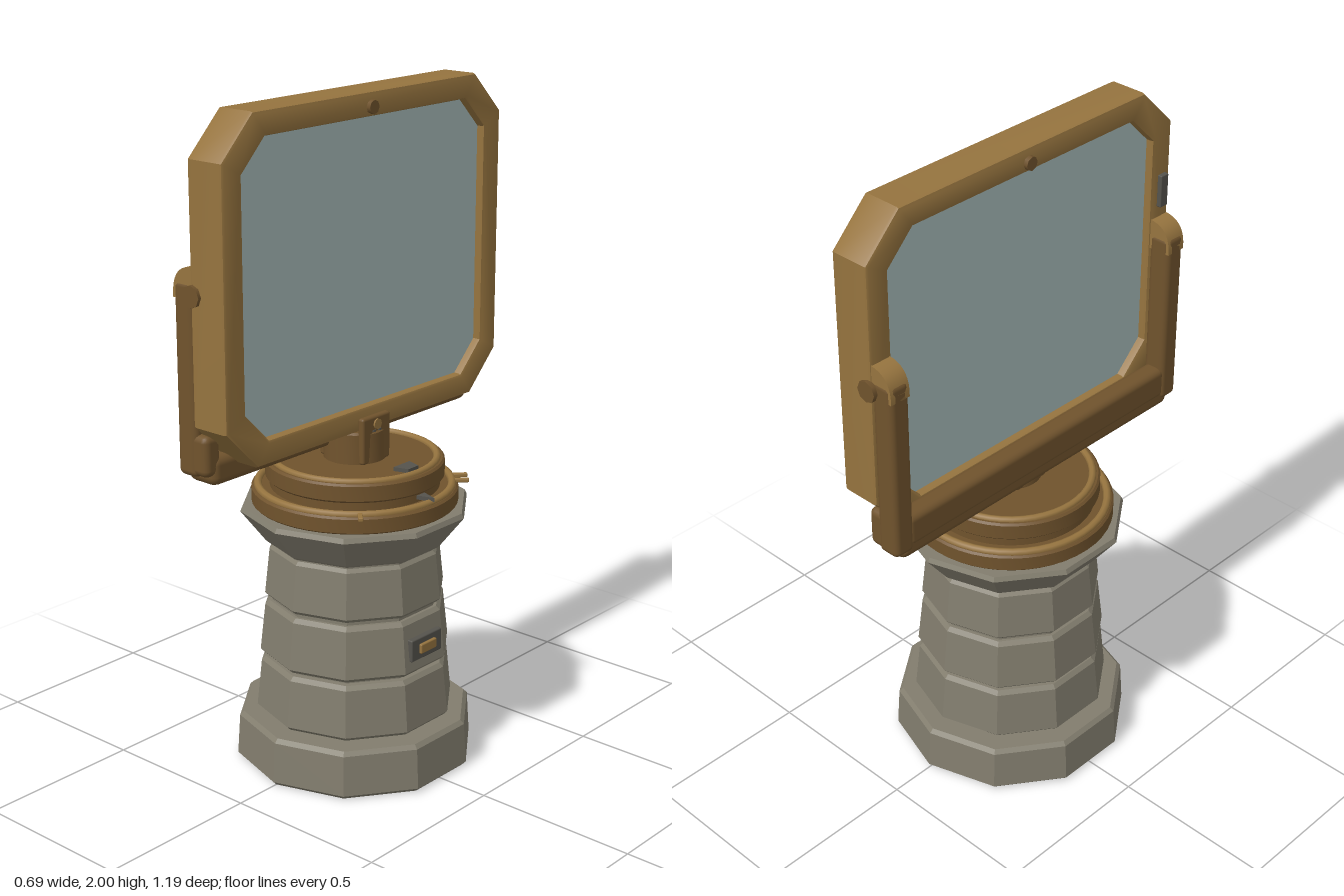
import * as THREE from 'three';
import { toCreasedNormals } from 'three/addons/utils/BufferGeometryUtils.js';
import { RoundedBoxGeometry } from 'three/addons/geometries/RoundedBoxGeometry.js';

const mat = (name, color, flatShading = false) => {
  const m = new THREE.MeshStandardMaterial({ color, flatShading });
  m.name = name;
  return m;
};

// Octagon with cut corners in the (z, y) plane
function cutRect(PathType, w, y0, y1, cut) {
  const p = new PathType();
  [[-w + cut, y0], [w - cut, y0], [w, y0 + cut], [w, y1 - cut],
    [w - cut, y1], [-w + cut, y1], [-w, y1 - cut], [-w, y0 + cut]]
    .forEach(([x, y], i) => (i ? p.lineTo(x, y) : p.moveTo(x, y)));
  p.closePath();
  return p;
}

// Extrude a (z, y) outline along x, centred on x = 0
function slab(shape, depth, bevel) {
  const g = new THREE.ExtrudeGeometry(shape, {
    depth: depth - 2 * bevel, bevelEnabled: bevel > 0, bevelSize: bevel,
    bevelThickness: bevel, bevelOffset: -bevel, bevelSegments: 2,
  });
  g.translate(0, 0, -(depth - 2 * bevel) / 2);
  return g.rotateY(Math.PI / 2);
}

export function createModel() {
  const model = new THREE.Group();
  const stone = mat('stone', 0x827d6e, true);
  const brass = mat('brass', 0x96743f);
  const darkBrass = mat('dark brass', 0x70532d);
  const iron = mat('dark iron', 0x55534d);
  const glass = mat('mirror glass', 0xa5b9b7);

  const add = (name, geo, material, x = 0, y = 0, z = 0) => {
    const m = new THREE.Mesh(geo, material);
    m.name = name;
    m.position.set(x, y, z);
    model.add(m);
    return m;
  };
  const box = (name, w, h, d, material, x, y, z, r = 0.008) =>
    add(name, new RoundedBoxGeometry(w, h, d, 2, r), material, x, y, z);
  const lathe = (pts, sides) =>
    new THREE.LatheGeometry(pts.map(([r, y]) => new THREE.Vector2(r, y)), sides);
  // Bevelled drum: radius r0 at y0 to r1 at y1
  const drum = (r0, r1, y0, y1, b, sides) => lathe(
    [[0, y0], [r0 - b, y0], [r0, y0 + b], [r1, y1 - b], [r1 - b, y1], [0, y1]], sides);
  const turned = (r0, r1, y0, y1, b) => toCreasedNormals(drum(r0, r1, y0, y1, b, 48), 0.6);
  const bolt = (name, r, len, axis, material, x, y, z) => {
    const m = add(name, new THREE.CylinderGeometry(r, r, len, 8), material, x, y, z);
    if (axis === 'x') m.rotation.z = Math.PI / 2;
    if (axis === 'z') m.rotation.x = Math.PI / 2;
    return m;
  };

  // Ten-sided stone pedestal, tapering course by course
  add('pedestalCore', drum(0.26, 0.245, 0.1, 0.75, 0.005, 10), stone);
  [['pedestalBase', 0.362, 0.354, 0, 0.147], ['lowerCourse', 0.3, 0.285, 0.155, 0.322],
    ['middleCourse', 0.288, 0.272, 0.335, 0.502], ['upperCourse', 0.272, 0.257, 0.515, 0.677]]
    .forEach(([n, r0, r1, y0, y1]) => add(n, drum(r0, r1, y0, y1, 0.012, 10), stone));
  add('pedestalCapital', lathe([[0, 0.685], [0.26, 0.685], [0.268, 0.692], [0.342, 0.788],
    [0.335, 0.802], [0, 0.802]], 10), stone);

  // Name plate on the pedestal, left without writing
  box('pedestalPlate', 0.03, 0.068, 0.135, iron, 0.265, 0.412, 0, 0.004);
  box('plateInset', 0.02, 0.03, 0.07, brass, 0.279, 0.412, 0, 0.004);

  // Turntable
  add('lowerRing', turned(0.304, 0.304, 0.8, 0.853, 0.006), darkBrass);
  add('turntableGroove', turned(0.25, 0.25, 0.84, 0.9, 0.002), darkBrass);
  add('upperRing', turned(0.263, 0.263, 0.88, 0.936, 0.006), darkBrass);
  const rim = (name, r, t, y) => {
    const m = add(name, new THREE.TorusGeometry(r, t, 8, 48), brass, 0, y, 0);
    m.rotation.x = Math.PI / 2;
  };
  rim('lowerRim', 0.285, 0.012, 0.855);
  rim('upperRim', 0.24, 0.011, 0.936);

  // Bearing marks and pointers on the turntable
  [-0.86, -0.72, 0.8].forEach((a) => {
    const m = box('bearingMark', 0.06, 0.012, 0.014, brass, 0.305 * Math.cos(a), 0.858, 0.305 * Math.sin(a), 0.003);
    m.rotation.y = -a;
  });
  const flat = (name, pts, y, h) => {
    const s = new THREE.Shape(pts.map(([x, z]) => new THREE.Vector2(x, -z)));
    const g = new THREE.ExtrudeGeometry(s, { depth: h, bevelEnabled: false });
    add(name, g.rotateX(-Math.PI / 2), iron, 0, y, 0);
  };
  flat('discPointer', [[0.178, 0.035], [0.222, 0.022], [0.222, -0.022], [0.178, -0.035]], 0.936, 0.012);
  flat('ringPointer', [[0.235, 0.022], [0.3, 0], [0.235, -0.022]], 0.862, 0.012);

  // Neck with two cheeks holding the mirror
  add('neck', turned(0.092, 0.09, 0.93, 1.03, 0.006), darkBrass);
  for (const s of [-1, 1]) {
    const h = s > 0 ? 0.14 : 0.08;
    box('neckCheek', 0.022, h, 0.12, darkBrass, s * 0.074, 0.935 + h / 2, 0);
    for (const t of [-1, 1]) bolt('neckBolt', 0.01, 0.006, 'y', iron, s * 0.078, 1.031, t * 0.012);
  }
  bolt('cheekBolt', 0.016, 0.012, 'x', brass, 0.084, 1.05, 0);

  // Mirror frame and pane
  const outline = cutRect(THREE.Shape, 0.585, 1.03, 2, 0.12);
  outline.holes.push(cutRect(THREE.Path, 0.508, 1.1, 1.93, 0.09));
  add('mirrorFrame', toCreasedNormals(slab(outline, 0.126, 0.01), 0.6), brass, -0.003);
  add('mirrorPane', slab(cutRect(THREE.Shape, 0.53, 1.08, 1.95, 0.1), 0.075, 0), glass, -0.003);
  for (const s of [-1, 1]) bolt('frameBolt', 0.02, 0.02, 'x', darkBrass, -0.003 + s * 0.066, 1.958, 0);

  // Yoke: crossbar, two arms with rounded caps, pivots
  box('yokeCrossbar', 0.11, 0.085, 1.11, darkBrass, -0.075, 1.018, 0, 0.025);
  box('yokeBackRail', 0.065, 0.1, 1.06, darkBrass, -0.1, 1.06, 0, 0.02);
  const cap = new THREE.Shape();
  cap.moveTo(-0.135, 1.5);
  cap.lineTo(-0.06, 1.5);
  cap.lineTo(-0.06, 1.592);
  cap.quadraticCurveTo(-0.13, 1.59, -0.135, 1.52);
  cap.closePath();
  for (const s of [-1, 1]) {
    box('yokeArm', 0.073, 0.55, 0.07, darkBrass, -0.0985, 1.275, s * 0.547, 0.018);
    const g = new THREE.ExtrudeGeometry(cap, { depth: 0.066, bevelEnabled: false, curveSegments: 8 });
    add('yokeArmCap', toCreasedNormals(g, 0.6), brass, 0, 0, s * 0.547 - 0.033);
    box('yokeElbow', 0.11, 0.12, 0.06, darkBrass, -0.08, 1.065, s * 0.55, 0.02);
    bolt('pivotBolt', 0.032, 0.03, 'z', darkBrass, -0.056, 1.515, s * 0.58);
  }
  box('clampPlate', 0.016, 0.1, 0.03, iron, -0.074, 1.678, 0.548, 0.003);

  return model;
}
